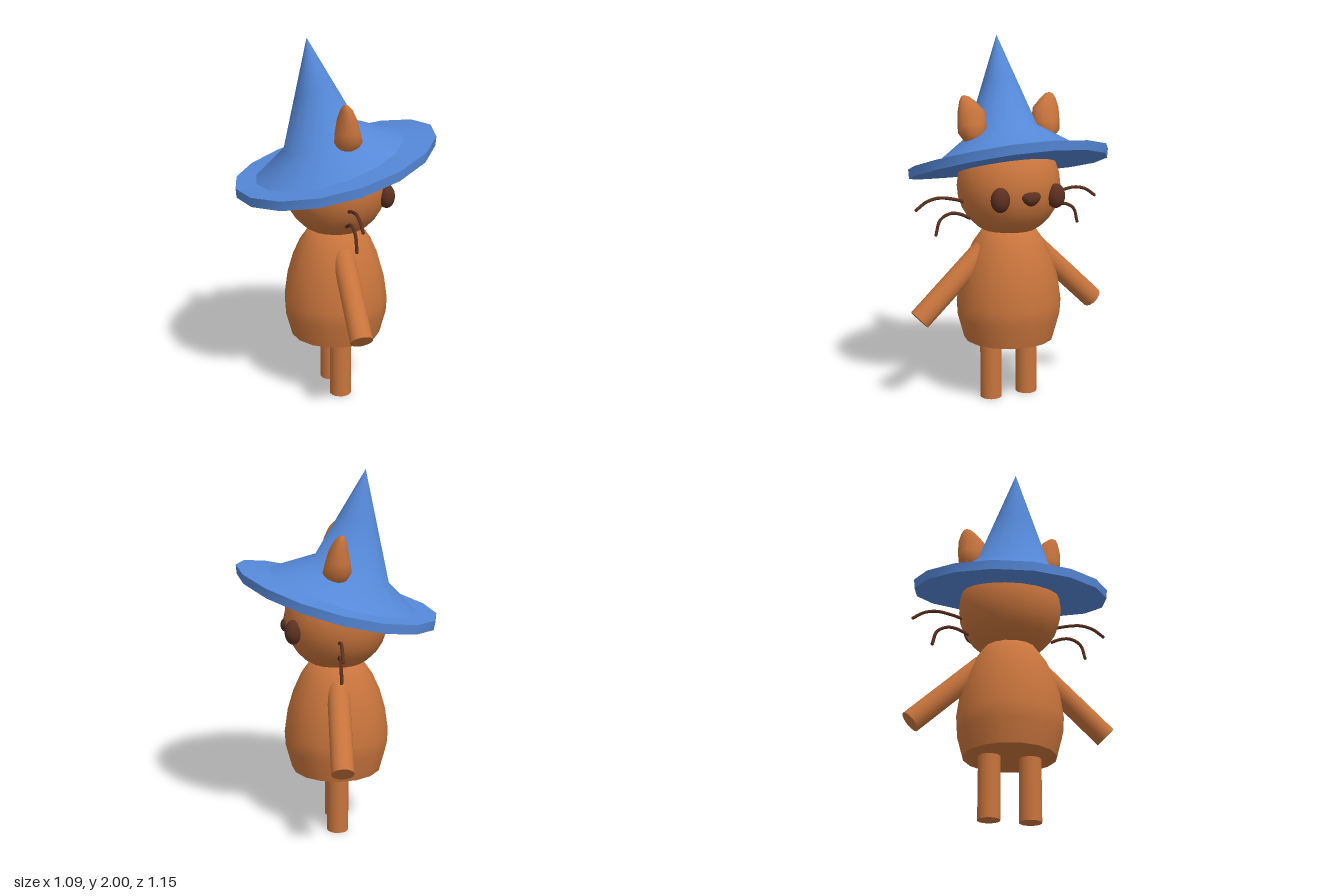
import * as THREE from 'three';

const fur = new THREE.MeshStandardMaterial({ color: 0xc8743c });
const dark = new THREE.MeshStandardMaterial({ color: 0x5c3020 });
const felt = new THREE.MeshStandardMaterial({ color: 0x5588d8, side: THREE.DoubleSide });

// Smooth skin through elliptical rings; slope tilts a ring along x, sag lifts its x ends.
function loft(rings, sides = 16) {
  const pos = [], index = [];
  rings.forEach(({ y, cx = 0, cz = 0, rx, rz = rx, slope = 0, sag = 0 }, k) => {
    for (let i = 0; i < sides; i++) {
      const a = (i / sides) * Math.PI * 2, c = Math.cos(a);
      pos.push(cx + rx * c, y + slope * c + sag * c * c, cz + rz * Math.sin(a));
      if (k === 0) continue;
      const j = (i + 1) % sides, lo = (k - 1) * sides, hi = k * sides;
      index.push(lo + i, hi + i, lo + j, lo + j, hi + i, hi + j);
    }
  });
  const g = new THREE.BufferGeometry();
  g.setAttribute('position', new THREE.Float32BufferAttribute(pos, 3));
  g.setIndex(index);
  g.computeVertexNormals();
  return g;
}

function add(parent, name, geometry, material) {
  const mesh = new THREE.Mesh(geometry, material);
  mesh.name = name;
  parent.add(mesh);
  return mesh;
}

// Cylinder between two points
function limb(parent, name, from, to, radius) {
  const dir = to.clone().sub(from);
  const m = add(parent, name, new THREE.CylinderGeometry(radius, radius, dir.length(), 16), fur);
  m.position.copy(from).add(to).multiplyScalar(0.5);
  m.quaternion.setFromUnitVectors(new THREE.Vector3(0, 1, 0), dir.normalize());
}

function ellipsoid(parent, name, x, y, z, rx, ry, rz, material) {
  const m = add(parent, name, new THREE.SphereGeometry(1, 20, 14), material);
  m.position.set(x, y, z);
  m.scale.set(rx, ry, rz);
  return m;
}

export function createModel() {
  const model = new THREE.Group();
  model.name = 'catInHat';
  const V = (x, y, z) => new THREE.Vector3(x, y, z);
  const cx = 0.005;

  // Pear-shaped body with a flat base
  const profile = [[0.25, 0.34], [0.285, 0.47], [0.29, 0.55], [0.272, 0.68], [0.24, 0.79], [0.2, 0.88], [0.145, 0.96], [0, 0.98]];
  add(model, 'body', loft(profile.map(([rx, y]) => ({ rx, y, cx }))), fur);
  add(model, 'bodyBase', loft([{ rx: 0, y: 0.34, cx }, { rx: 0.25, y: 0.34, cx }]), fur);
  ellipsoid(model, 'head', cx, 1.2, 0, 0.285, 0.285, 0.285, fur);

  // Nose: a rounded triangle, narrow at the bottom
  const nose = ellipsoid(model, 'nose', 0.275, 1.163, 0, 0.035, 0.04, 0.053, dark);
  const p = nose.geometry.attributes.position;
  for (let i = 0; i < p.count; i++) p.setZ(i, p.getZ(i) * (1 + 0.3 * p.getY(i)));
  nose.geometry.computeVertexNormals();

  for (const s of [1, -1]) {
    const side = s > 0 ? 'right' : 'left';
    limb(model, side + 'Leg', V(cx, 0, 0.11 * s), V(cx, 0.38, 0.11 * s), 0.06);
    limb(model, side + 'Arm', V(cx, 0.85, 0.155 * s), V(cx, 0.498, 0.532 * s), 0.061);
    ellipsoid(model, side + 'Eye', 0.245, 1.162, 0.163 * s, 0.045, 0.066, 0.052, dark);

    // Ear: drop shape leaning outward towards its tip
    const ear = [
      [1.435, 0.03, 0.215, 0, 0], [1.445, 0.015, 0.215, 0.05, 0.045], [1.49, 0.015, 0.22, 0.076, 0.075],
      [1.54, 0.012, 0.22, 0.067, 0.08], [1.61, 0.008, 0.222, 0.05, 0.077], [1.66, 0.0, 0.24, 0.032, 0.046],
      [1.685, -0.007, 0.25, 0.014, 0.022], [1.692, -0.01, 0.255, 0, 0],
    ];
    add(model, side + 'Ear', loft(ear.map(([y, x, z, rx, rz]) => ({ y, cx: x, cz: z * s, rx, rz })), 12), fur);

    // Whiskers
    const paths = [
      [[1.12, 0.25], [1.143, 0.33], [1.155, 0.41], [1.14, 0.48], [1.1, 0.54]],
      [[1.03, 0.23], [1.058, 0.29], [1.066, 0.345], [1.035, 0.405], [0.957, 0.43]],
    ];
    paths.forEach((path, k) => {
      const curve = new THREE.CatmullRomCurve3(path.map(([y, z]) => V(cx, y, z * s)));
      add(model, side + (k ? 'LowerWhisker' : 'UpperWhisker'), new THREE.TubeGeometry(curve, 16, 0.009, 8), dark);
      ellipsoid(model, side + 'WhiskerTip', cx, path[4][0], path[4][1] * s, 0.009, 0.009, 0.009, dark);
    });
  }

  // Tilted pointed hat with a drooping, thick brim
  const hat = new THREE.Group();
  hat.name = 'hat';
  model.add(hat);
  const rimLow = { rx: 0.54, y: 1.283, slope: 0.142, sag: 0.025 };
  const rimTop = { rx: 0.544, y: 1.335, slope: 0.142, sag: 0.023 };
  const brimInner = { cx: -0.03, rx: 0.4, rz: 0.405, y: 1.337, slope: 0.12, sag: 0.018 };
  const crownBase = { cx: -0.08, rx: 0.2, y: 1.47, slope: 0.08 };
  const crownMid = { cx: -0.115, rx: 0.1, y: 1.735, slope: 0.04 };
  const tip = { cx: -0.15, rx: 0, y: 2 };
  add(hat, 'hatUnderside', loft([{ rx: 0, y: 1.3 }, { rx: 0.28, y: 1.295, slope: 0.074, sag: 0.01 }, rimLow]), felt);
  add(hat, 'hatRim', loft([rimLow, rimTop]), felt);
  add(hat, 'hatBrim', loft([rimTop, brimInner]), felt);
  add(hat, 'hatCrown', loft([brimInner, crownBase, crownMid, tip]), felt);

  return model;
}
